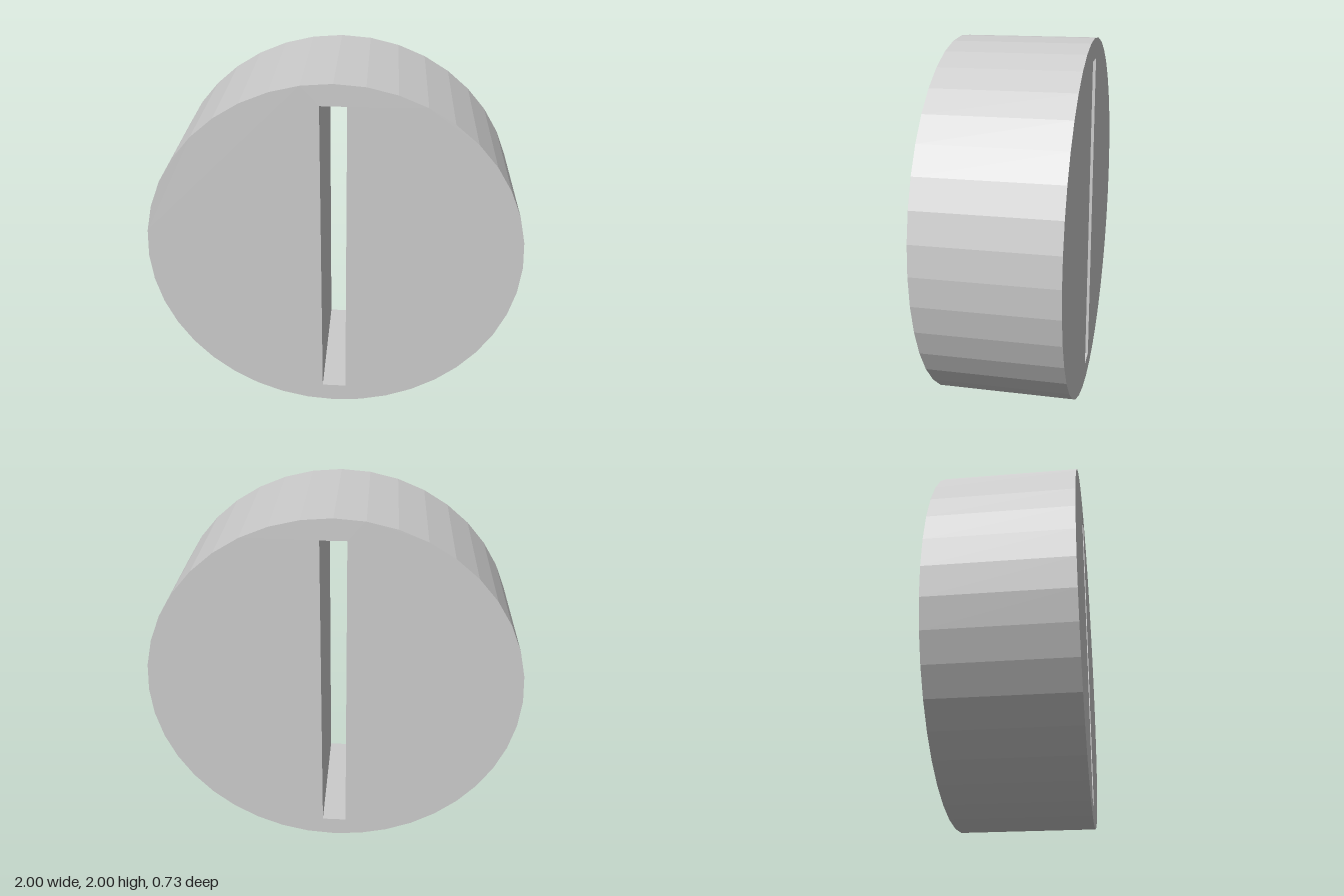
import * as THREE from 'three';

const RADIUS = 1, DEPTH = 0.725, SIDES = 40;
const SLOT_WIDTH = 0.134, SLOT_HEIGHT = 1.774;

export function createModel() {
  const group = new THREE.Group();
  group.name = 'slottedDisc';

  // Faceted round outline
  const outline = [];
  for (let i = 0; i < SIDES; i++) {
    const a = (i / SIDES) * Math.PI * 2;
    outline.push(new THREE.Vector2(RADIUS * Math.cos(a), RADIUS * Math.sin(a)));
  }
  const shape = new THREE.Shape(outline);

  // Narrow upright slot, cut right through
  const w = SLOT_WIDTH / 2, h = SLOT_HEIGHT / 2;
  shape.holes.push(new THREE.Path([
    new THREE.Vector2(-w, -h), new THREE.Vector2(-w, h),
    new THREE.Vector2(w, h), new THREE.Vector2(w, -h),
  ]));

  const geometry = new THREE.ExtrudeGeometry(shape, { depth: DEPTH, bevelEnabled: false });
  geometry.translate(0, RADIUS, -DEPTH / 2);

  const disc = new THREE.Mesh(
    geometry,
    new THREE.MeshStandardMaterial({ color: 0xcccccc, flatShading: true }),
  );
  disc.name = 'disc';
  group.add(disc);
  return group;
}
